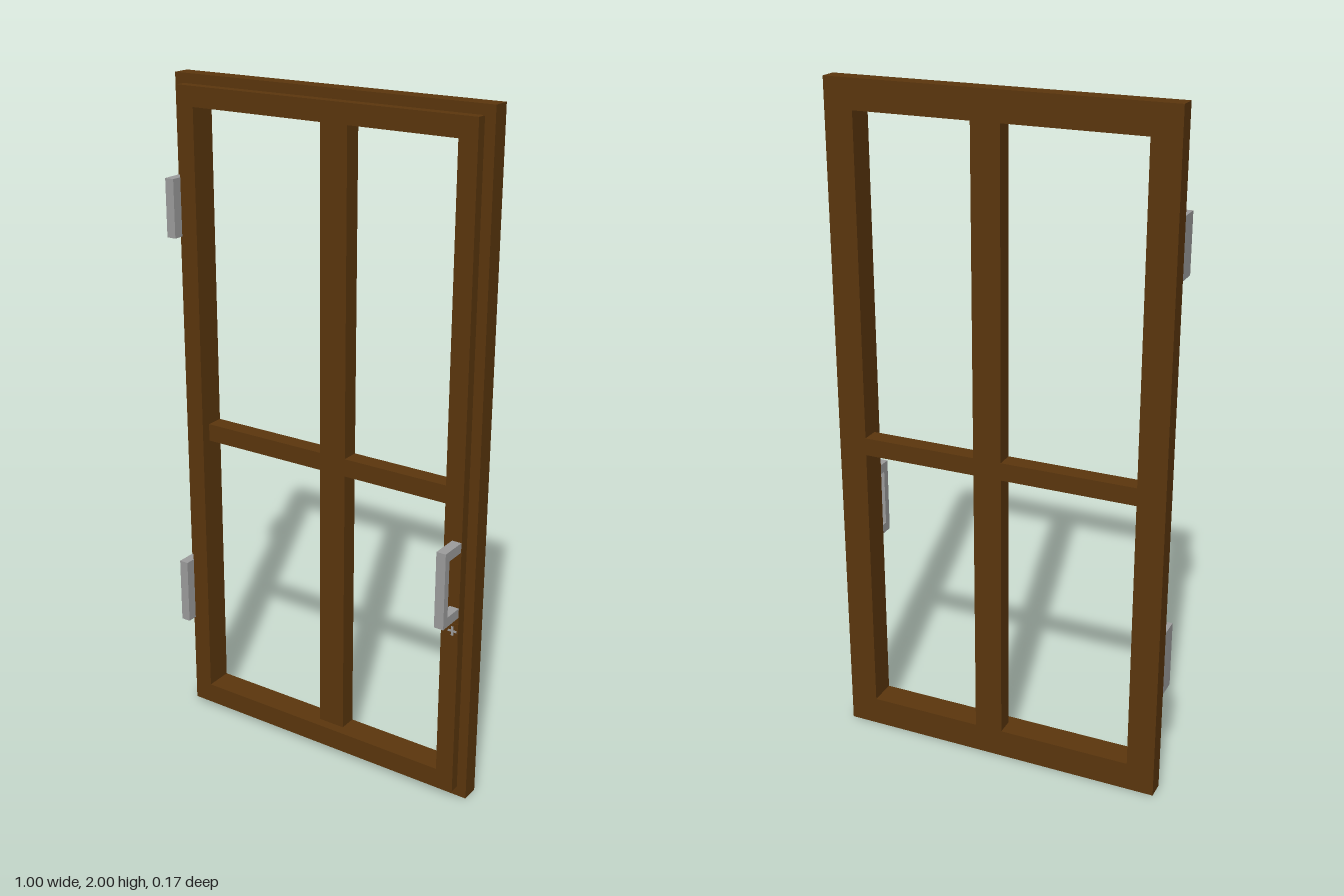
import * as THREE from 'three';

export function createModel() {
  const model = new THREE.Group();
  model.name = 'casementWindow';

  const wood = new THREE.MeshStandardMaterial({ color: 0x5b360d });
  wood.name = 'brown wood';
  const metal = new THREE.MeshStandardMaterial({ color: 0x9c9c9c });
  metal.name = 'grey metal';

  // Box given by its lower and upper limits on each axis
  function box(name, material, [x0, x1], [y0, y1], [z0, z1], parent = model) {
    const mesh = new THREE.Mesh(new THREE.BoxGeometry(x1 - x0, y1 - y0, z1 - z0), material);
    mesh.position.set((x0 + x1) / 2, (y0 + y1) / 2, (z0 + z1) / 2);
    mesh.name = name;
    parent.add(mesh);
    return mesh;
  }

  function rect(target, x0, x1, y0, y1) {
    target.moveTo(x0, y0);
    target.lineTo(x1, y0);
    target.lineTo(x1, y1);
    target.lineTo(x0, y1);
    target.closePath();
    return target;
  }

  // Rectangular ring of the sash, extruded between two depths
  const inner = [-0.417, 0.415, 0.087, 1.915];
  function ring(name, outer, z0, z1) {
    const shape = rect(new THREE.Shape(), ...outer);
    shape.holes.push(rect(new THREE.Path(), ...inner));
    const geometry = new THREE.ExtrudeGeometry(shape, { depth: z1 - z0, bevelEnabled: false });
    const mesh = new THREE.Mesh(geometry, wood);
    mesh.position.z = z0;
    mesh.name = name;
    model.add(mesh);
  }

  // Stepped sash: wide rear layer and narrower front layer
  const back = -0.083, step = -0.03;
  ring('rearFrame', [-0.5, 0.5, 0, 2], back, step);
  ring('frontFrame', [-0.47, 0.47, 0.03, 1.972], step, 0);

  // Glazing bars, flush with the back
  const mullion = [-0.015, 0.07];
  box('mullion', wood, mullion, [inner[2], inner[3]], [back, step]);
  box('leftPaneBar', wood, [mullion[1], inner[1]], [0.92, 0.973], [back, step]);
  box('rightPaneBar', wood, [inner[0], mullion[0]], [0.92, 0.973], [back, step]);

  // Hinges in the step of the frame
  box('upperHinge', metal, [-0.5, -0.471], [1.545, 1.715], [step, 0.03]);
  box('lowerHinge', metal, [-0.5, -0.471], [0.315, 0.518], [step, 0.03]);

  // Pull handle: grip and two arms
  const handle = new THREE.Group();
  handle.name = 'handle';
  model.add(handle);
  const hx = [0.44, 0.469];
  box('grip', metal, hx, [0.602, 0.831], [0.063, 0.085], handle);
  box('lowerArm', metal, hx, [0.602, 0.631], [0, 0.063], handle);
  box('upperArm', metal, hx, [0.802, 0.831], [0, 0.063], handle);

  // Lock plate with a small cross
  const lock = new THREE.Group();
  lock.name = 'lock';
  model.add(lock);
  box('lockPlate', wood, [0.437, 0.47], [0.52, 0.58], [0, 0.002], lock);
  box('crossUpright', metal, [0.449, 0.456], [0.543, 0.571], [0.002, 0.004], lock);
  for (const [x0, x1] of [[0.439, 0.449], [0.456, 0.466]]) {
    box('crossArm', metal, [x0, x1], [0.554, 0.56], [0.002, 0.004], lock);
  }

  return model;
}
